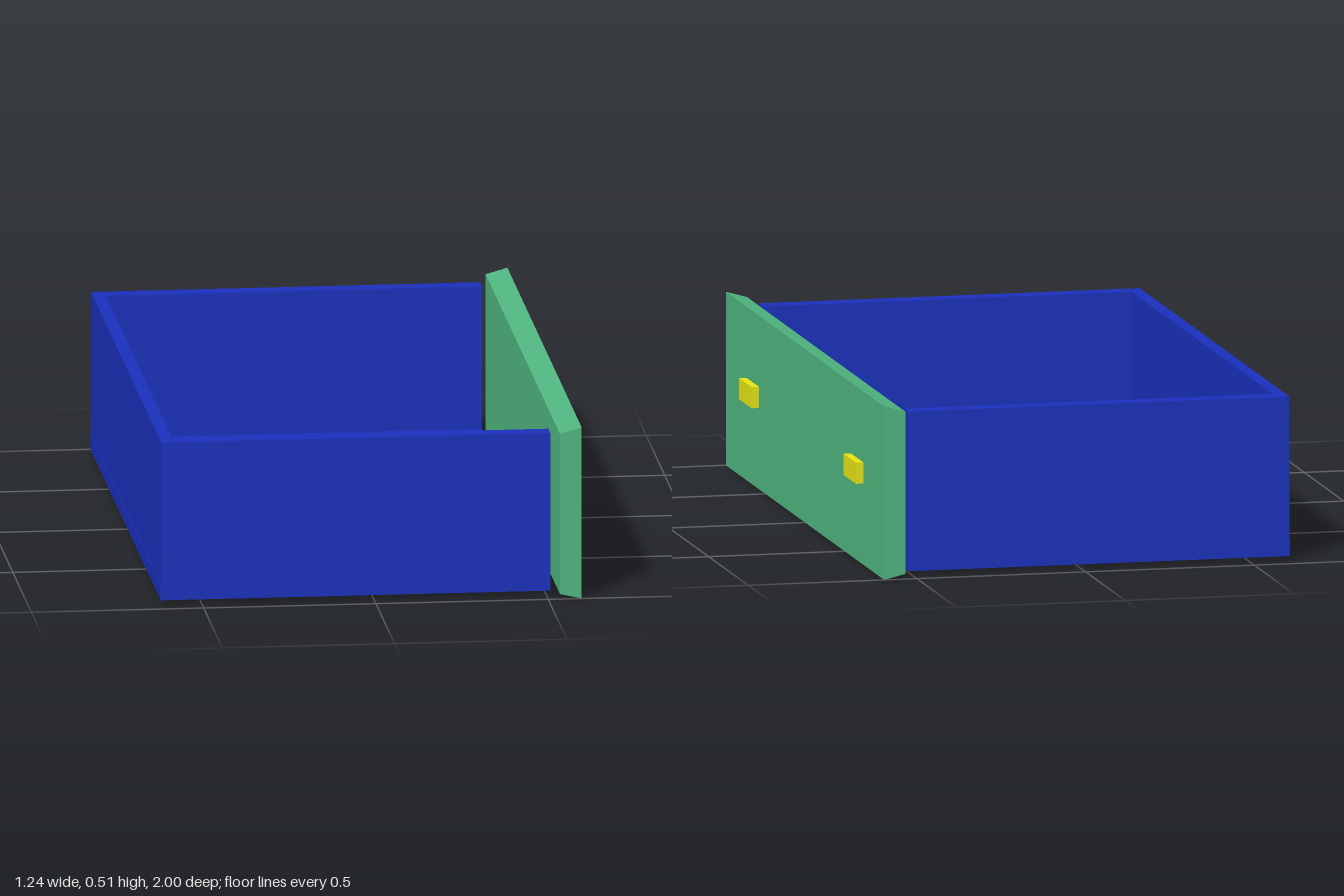
import * as THREE from 'three';

export function createModel() {
  const group = new THREE.Group();
  group.name = 'drawer';

  const material = (name, color) => {
    const m = new THREE.MeshStandardMaterial({ color });
    m.name = name;
    return m;
  };
  const blue = material('blue', 0x1a30bc);
  const green = material('green', 0x50b680);
  const yellow = material('yellow', 0xe6e414);

  // Box given by its minimum and maximum corners
  const box = (name, mat, [x0, y0, z0], [x1, y1, z1]) => {
    const mesh = new THREE.Mesh(new THREE.BoxGeometry(x1 - x0, y1 - y0, z1 - z0), mat);
    mesh.position.set((x0 + x1) / 2, (y0 + y1) / 2, (z0 + z1) / 2);
    mesh.name = name;
    group.add(mesh);
  };

  // Tray: bottom board with a very slight lip, and rear wall
  box('bottomBoard', blue, [-0.619, 0.013, -0.947], [0.512, 0.058, 0.947]);
  box('rearWall', blue, [-0.617, 0.058, -0.945], [-0.58, 0.48, 0.945]);

  // Side walls butted against the rear wall, and pulls on the face panel
  for (const side of [-1, 1]) {
    const span = (a, b) => [Math.min(side * a, side * b), Math.max(side * a, side * b)];
    const [w0, w1] = span(0.89, 0.945);
    box('sideWall', blue, [-0.579, 0.058, w0], [0.512, 0.48, w1]);
    const [h0, h1] = span(0.58, 0.737);
    box('handle', yellow, [0.597, 0.238, h0], [0.619, 0.3, h1]);
  }

  // Face panel: flared towards its outer face
  const profile = new THREE.Shape([
    new THREE.Vector2(0.534, 0.015),
    new THREE.Vector2(0.597, 0),
    new THREE.Vector2(0.597, 0.508),
    new THREE.Vector2(0.534, 0.49),
  ]);
  const panelGeometry = new THREE.ExtrudeGeometry(profile, { depth: 2, bevelEnabled: false });
  panelGeometry.translate(0, 0, -1);
  const panel = new THREE.Mesh(panelGeometry, green);
  panel.name = 'facePanel';
  group.add(panel);

  return group;
}
